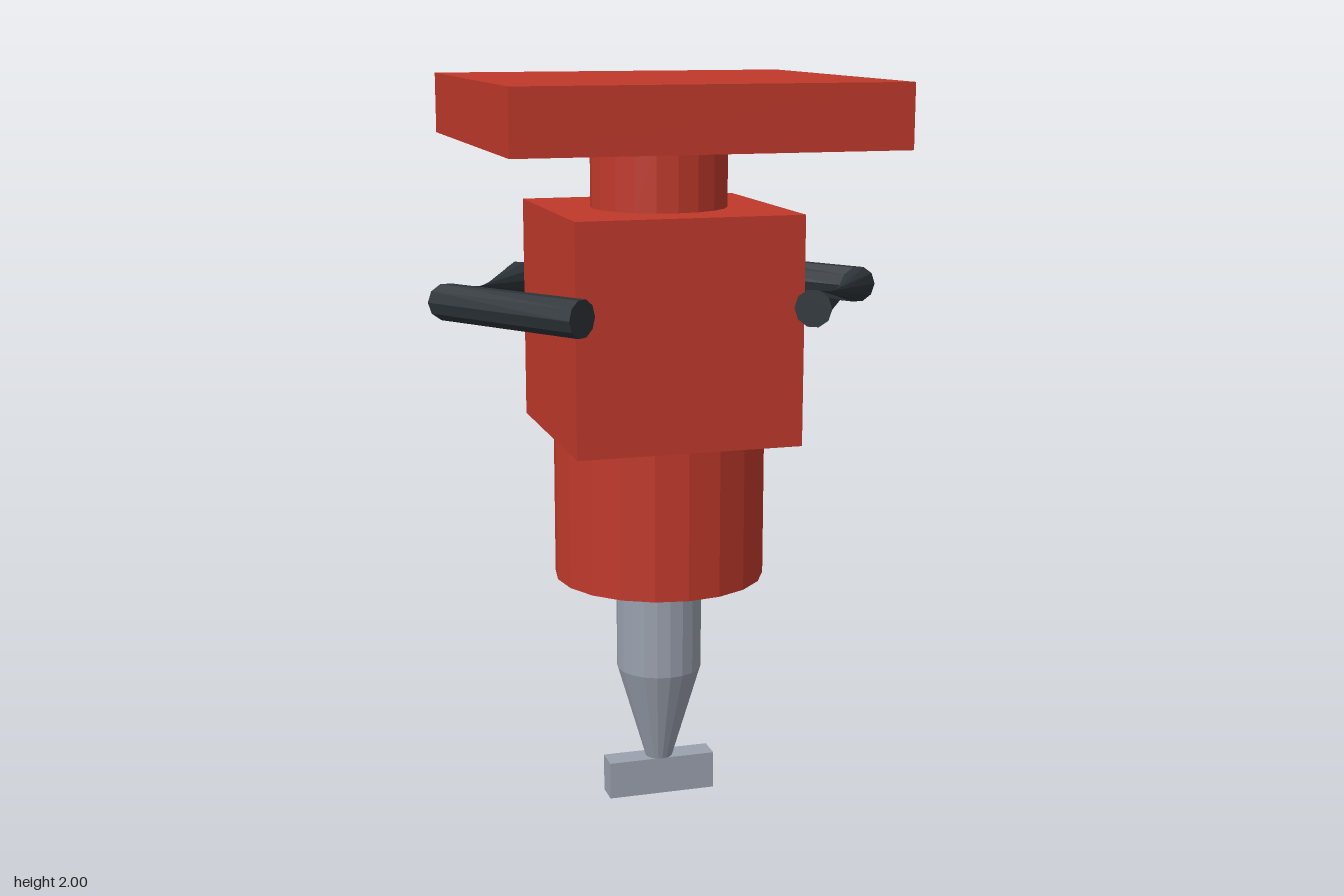
import * as THREE from 'three';

const SIDES = 20;

function material(name, color, side = THREE.FrontSide) {
  const m = new THREE.MeshStandardMaterial({ color, flatShading: true, side });
  m.name = name;
  return m;
}

// Bent bar: rings at three path points; the front half is twisted into a waist.
function handleGeometry() {
  const n = 10, r = 0.05, twist = Math.PI * 0.8;
  const a = 0.275, b = 0.37, len = Math.hypot(a, b);
  const rings = [
    { c: [0.303, 0.37], u: [b / len, a / len], t: twist },
    { c: [0.575, 0], u: [1, 0], t: 0 },
    { c: [0.303, -0.37], u: [b / len, -a / len], t: 0 },
  ];
  const pos = [], idx = [];
  for (const { c, u, t } of rings) {
    for (let i = 0; i < n; i++) {
      const k = (i / n) * Math.PI * 2 + t;
      pos.push(c[0] + u[0] * r * Math.cos(k), r * Math.sin(k), c[1] + u[1] * r * Math.cos(k));
    }
  }
  for (let s = 0; s < 2; s++) {
    for (let i = 0; i < n; i++) {
      const p = s * n + i, q = s * n + (i + 1) % n;
      idx.push(p, p + n, q, q, p + n, q + n);
    }
  }
  // End caps
  for (let i = 1; i < n - 1; i++) {
    idx.push(0, i, i + 1, 2 * n, 2 * n + i + 1, 2 * n + i);
  }
  const g = new THREE.BufferGeometry();
  g.setAttribute('position', new THREE.Float32BufferAttribute(pos, 3));
  g.setIndex(idx);
  const flat = g.toNonIndexed();
  flat.computeVertexNormals();
  return flat;
}

export function createModel() {
  const model = new THREE.Group();
  model.name = 'breakerTool';
  const red = material('red paint', 0xc0392b);
  const steel = material('steel grey', 0x9aa1ae);
  const dark = material('dark grip', 0x2d3439, THREE.DoubleSide);

  const add = (name, geometry, mat, y) => {
    const mesh = new THREE.Mesh(geometry, mat);
    mesh.name = name;
    mesh.position.y = y;
    model.add(mesh);
    return mesh;
  };
  const box = (name, w, d, y0, y1, mat) =>
    add(name, new THREE.BoxGeometry(w, y1 - y0, d), mat, (y0 + y1) / 2);
  const cyl = (name, top, bottom, y0, y1, mat) =>
    add(name, new THREE.CylinderGeometry(top, bottom, y1 - y0, SIDES), mat, (y0 + y1) / 2);

  // Body, from the top down
  box('topPlate', 1.014, 1.014, 1.835, 2, red);
  cyl('neck', 0.183, 0.183, 1.662, 1.835, red);
  box('housing', 0.608, 0.608, 1.055, 1.662, red);
  cyl('lowerBarrel', 0.288, 0.288, 0.65, 1.055, red);

  // Bit
  cyl('bitShaft', 0.118, 0.118, 0.375, 0.65, steel);
  cyl('bitTaper', 0.118, 0.038, 0.105, 0.375, steel);
  box('bitBlade', 0.304, 0.07, 0, 0.105, steel);

  // Side handles, each a half turn of the other
  const grip = handleGeometry();
  add('leftHandle', grip, dark, 1.43);
  add('rightHandle', grip, dark, 1.43).rotation.y = Math.PI;

  return model;
}
